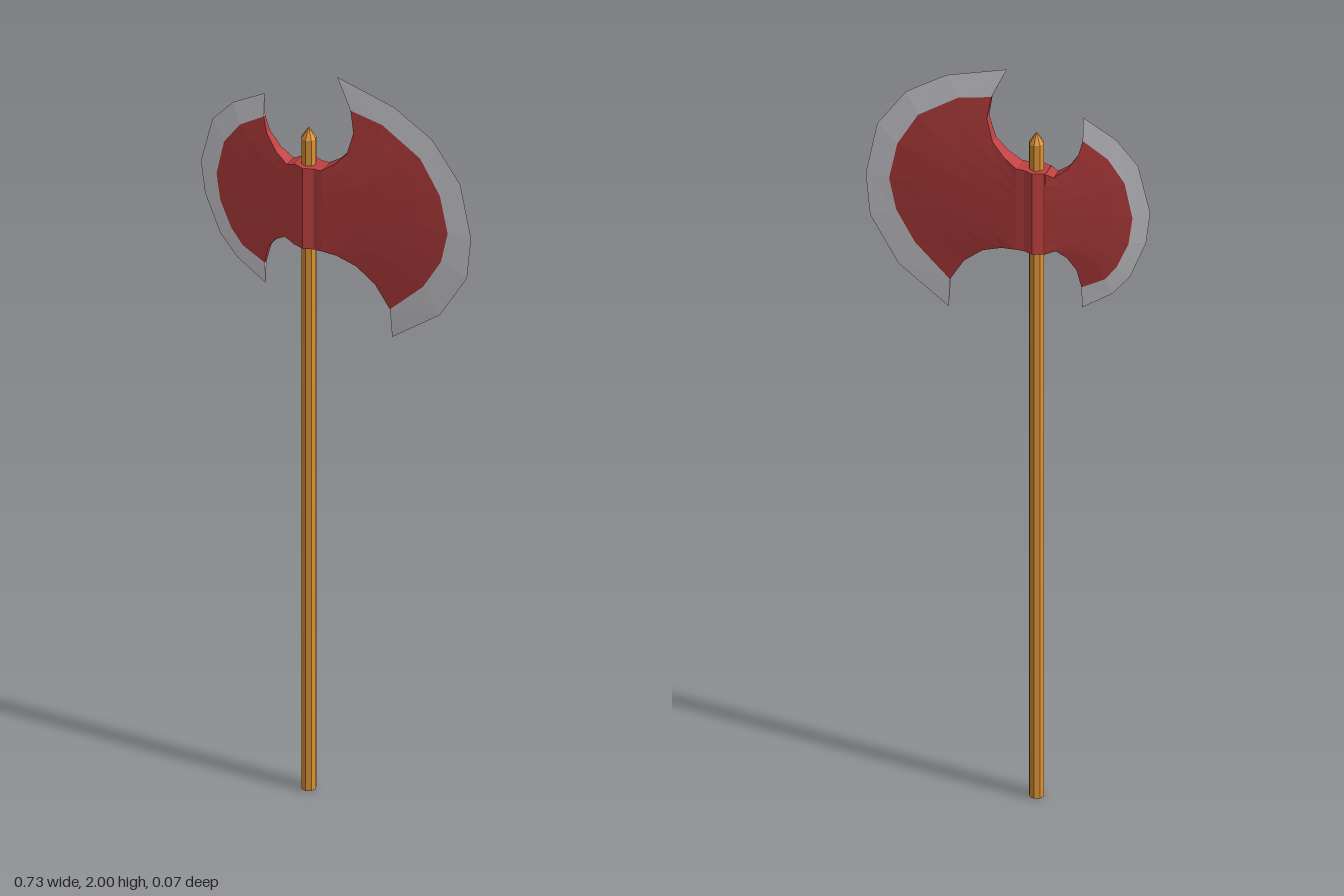
import * as THREE from 'three';

const steel = new THREE.MeshStandardMaterial({ color: 0xdfdfe5, flatShading: true });
steel.name = 'steel';
const red = new THREE.MeshStandardMaterial({ color: 0xc04141, flatShading: true });
red.name = 'red paint';
const wood = new THREE.MeshStandardMaterial({ color: 0xde9436, flatShading: true });
wood.name = 'wood';

const HUB_X = -0.074, HALF = 0.023, BEVEL = 0.004;

// Closed front/back shell through rows of [x, y] points (bottom to top), each row with a half thickness
function shell(rows, zs, dir) {
  const pos = [];
  const tri = (a, b, c) => pos.push(...a, ...(dir > 0 ? b : c), ...(dir > 0 ? c : b));
  const quad = (a, b, c, d) => { tri(a, b, c); tri(a, c, d); };
  const last = rows[0].length - 1;
  const pt = (i, j, s) => [rows[i][j][0], rows[i][j][1], s * zs[i]];
  for (let i = 0; i < rows.length - 1; i++) {
    for (let j = 0; j < last; j++) {
      quad(pt(i, j, 1), pt(i + 1, j, 1), pt(i + 1, j + 1, 1), pt(i, j + 1, 1));
      quad(pt(i, j, -1), pt(i, j + 1, -1), pt(i + 1, j + 1, -1), pt(i + 1, j, -1));
    }
    // upper and lower rims
    quad(pt(i, last, 1), pt(i + 1, last, 1), pt(i + 1, last, -1), pt(i, last, -1));
    quad(pt(i, 0, 1), pt(i, 0, -1), pt(i + 1, 0, -1), pt(i + 1, 0, 1));
  }
  const g = new THREE.BufferGeometry();
  g.setAttribute('position', new THREE.Float32BufferAttribute(pos, 3));
  g.computeVertexNormals();
  return g;
}

// One axe blade: red cheek spanning the two concave rims, then a steel bevel
function blade(name, dir, { top, bottom, border, edge }) {
  const n = border.length - 1, m = top.length - 1;
  const mix = (a, b, t) => a.map((k, i) => k + (b[i] - k) * t);
  const rows = top.map((t, i) => border.map((p, j) => {
    const ruled = mix(bottom[i], t, j / n);
    const chord = mix(border[0], border[n], j / n);
    return ruled.map((k, c) => k + (p[c] - chord[c]) * i / m);
  }));
  const zs = top.map((_, i) => HALF + (BEVEL - HALF) * i / m);
  const group = new THREE.Group();
  group.name = name;
  const cheek = new THREE.Mesh(shell(rows, zs, dir), red);
  cheek.name = 'cheek';
  const cutting = new THREE.Mesh(shell([border, edge], [BEVEL, 0], dir), steel);
  cutting.name = 'cuttingEdge';
  group.add(cheek, cutting);
  return group;
}

export function createModel() {
  const model = new THREE.Group();
  model.name = 'doubleAxe';

  // Handle with a pointed end
  const profile = [[0, 0], [0.019, 0], [0.019, 1.812], [0, 1.842]].map(p => new THREE.Vector2(...p));
  const handle = new THREE.Mesh(new THREE.LatheGeometry(profile, 8), wood);
  handle.name = 'handle';
  handle.position.x = HUB_X;
  model.add(handle);

  // Hub: ridged collar, extruded upwards
  const half = [[-0.03, HALF], [-0.024, HALF], [0, 0.033], [0.024, HALF], [0.046, HALF]];
  const outline = [...half, ...half.map(([x, z]) => [x, -z]).reverse()].map(p => new THREE.Vector2(...p));
  const hubGeo = new THREE.ExtrudeGeometry(new THREE.Shape(outline), { depth: 0.224, bevelEnabled: false });
  hubGeo.rotateX(-Math.PI / 2);
  const hub = new THREE.Mesh(hubGeo, red);
  hub.name = 'hub';
  hub.position.set(HUB_X, 1.518, 0);
  model.add(hub);

  // Large blade
  model.add(blade('largeBlade', 1, {
    top: [[-0.03, 1.742], [0.003, 1.765], [0.034, 1.8], [0.05, 1.86], [0.04, 1.918]],
    bottom: [[-0.03, 1.518], [0.01, 1.513], [0.06, 1.494], [0.108, 1.454], [0.146, 1.392]],
    border: [[0.146, 1.392], [0.235, 1.478], [0.283, 1.56], [0.301, 1.643],
      [0.28, 1.743], [0.227, 1.833], [0.125, 1.9], [0.04, 1.918]],
    edge: [[0.15, 1.314], [0.278, 1.408], [0.351, 1.53], [0.362, 1.643],
      [0.333, 1.786], [0.259, 1.89], [0.156, 1.955], [0.002, 2]],
  }));

  // Small blade
  model.add(blade('smallBlade', -1, {
    top: [[-0.1, 1.742], [-0.124, 1.733], [-0.156, 1.759], [-0.183, 1.8], [-0.193, 1.841]],
    bottom: [[-0.1, 1.518], [-0.13, 1.53], [-0.156, 1.514], [-0.179, 1.482], [-0.19, 1.434]],
    border: [[-0.19, 1.434], [-0.25, 1.468], [-0.28, 1.508], [-0.31, 1.578],
      [-0.32, 1.65], [-0.3, 1.743], [-0.257, 1.802], [-0.193, 1.841]],
    edge: [[-0.19, 1.376], [-0.267, 1.429], [-0.312, 1.484], [-0.353, 1.585],
      [-0.364, 1.672], [-0.333, 1.796], [-0.278, 1.857], [-0.193, 1.904]],
  }));
  return model;
}
